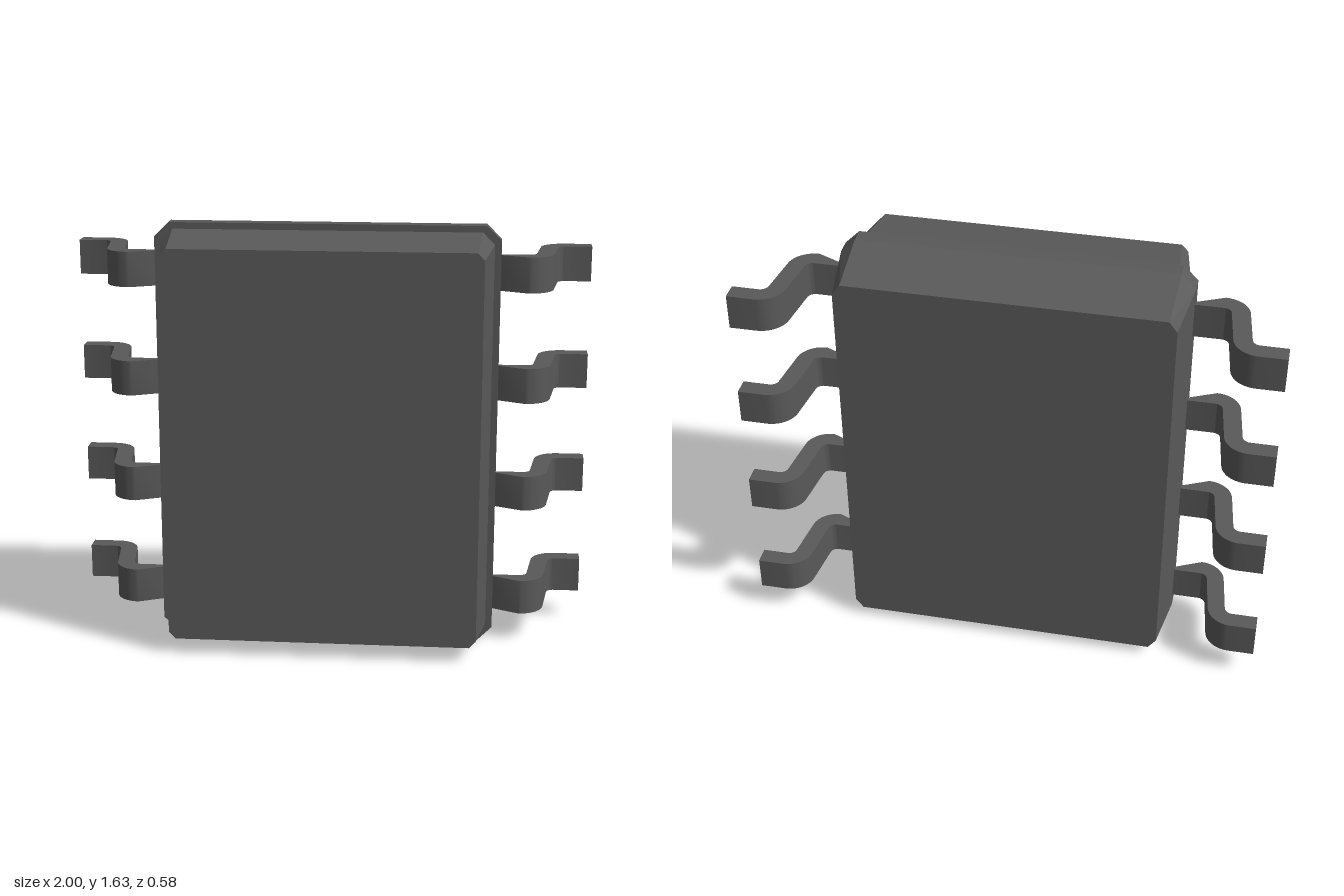
import * as THREE from 'three';
import { toCreasedNormals } from 'three/addons/utils/BufferGeometryUtils.js';
import { ConvexGeometry } from 'three/addons/geometries/ConvexGeometry.js';

const MID_Y = 0.8175;

// Corners of a rectangle with cut corners, at depth z
function section(z, halfW, halfH, cutX, cutY) {
  const points = [];
  for (const sx of [-1, 1]) {
    for (const sy of [-1, 1]) {
      points.push(new THREE.Vector3(sx * halfW, sy * (halfH - cutY), z));
      points.push(new THREE.Vector3(sx * (halfW - cutX), sy * halfH, z));
    }
  }
  return points;
}

// S-bent flat strip, drawn in plan and extruded upwards, centred on y = 0
function leadGeometry(height) {
  const inner = 0.03, outer = 0.097;
  const a = { x: 0.753, y: 0.049 }, b = { x: 0.9, y: 0.197 };
  const dx = b.x - a.x, dy = b.y - a.y;
  // Direction of the straight run that touches both bends
  const slope = Math.atan2(dy, dx) + Math.asin((inner + outer) / Math.hypot(dx, dy));
  const down = -Math.PI / 2, up = Math.PI / 2;
  const s = new THREE.Shape();
  s.moveTo(0.61, a.y - outer);
  s.absarc(a.x, a.y, outer, down, slope + down, false);
  s.absarc(b.x, b.y, inner, slope + up, up, true);
  s.lineTo(1, b.y + inner);
  s.lineTo(1, b.y + outer);
  s.absarc(b.x, b.y, outer, up, slope + up, false);
  s.absarc(a.x, a.y, inner, slope + down, down, true);
  s.lineTo(0.61, a.y - inner);
  s.closePath();
  const geo = new THREE.ExtrudeGeometry(s, { depth: height, bevelEnabled: false, curveSegments: 8 });
  geo.rotateX(-Math.PI / 2);
  geo.translate(0, -height / 2, 0);
  return toCreasedNormals(geo, Math.PI / 6);
}

export function createModel() {
  const model = new THREE.Group();
  model.name = 'chipPackage';
  const grey = new THREE.MeshStandardMaterial({ name: 'darkGrey', color: 0x595959 });

  const add = (name, geo, y) => {
    const mesh = new THREE.Mesh(geo, grey);
    mesh.name = name;
    mesh.position.y = y;
    model.add(mesh);
    return mesh;
  };

  // Back half of the case: short straight rim, then a taper
  add('backCase', new ConvexGeometry([
    ...section(0.05, 0.65, 0.8175, 0.055, 0.055),
    ...section(-0.01, 0.65, 0.8175, 0.055, 0.055),
    ...section(-0.26, 0.615, 0.778, 0.03, 0.04),
  ]), MID_Y);

  // Front half, slightly smaller so a step shows at the seam
  add('frontCase', new ConvexGeometry([
    ...section(0.05, 0.625, 0.793, 0.045, 0.045),
    ...section(0.29, 0.588, 0.755, 0.025, 0.027),
  ]), MID_Y);

  // Four bent leads on each side
  const lead = leadGeometry(0.135);
  for (let i = 0; i < 4; i++) {
    const y = MID_Y + (i - 1.5) * 0.4233;
    add('leftLead' + (i + 1), lead, y);
    add('rightLead' + (i + 1), lead, y).rotation.z = Math.PI;
  }
  return model;
}
